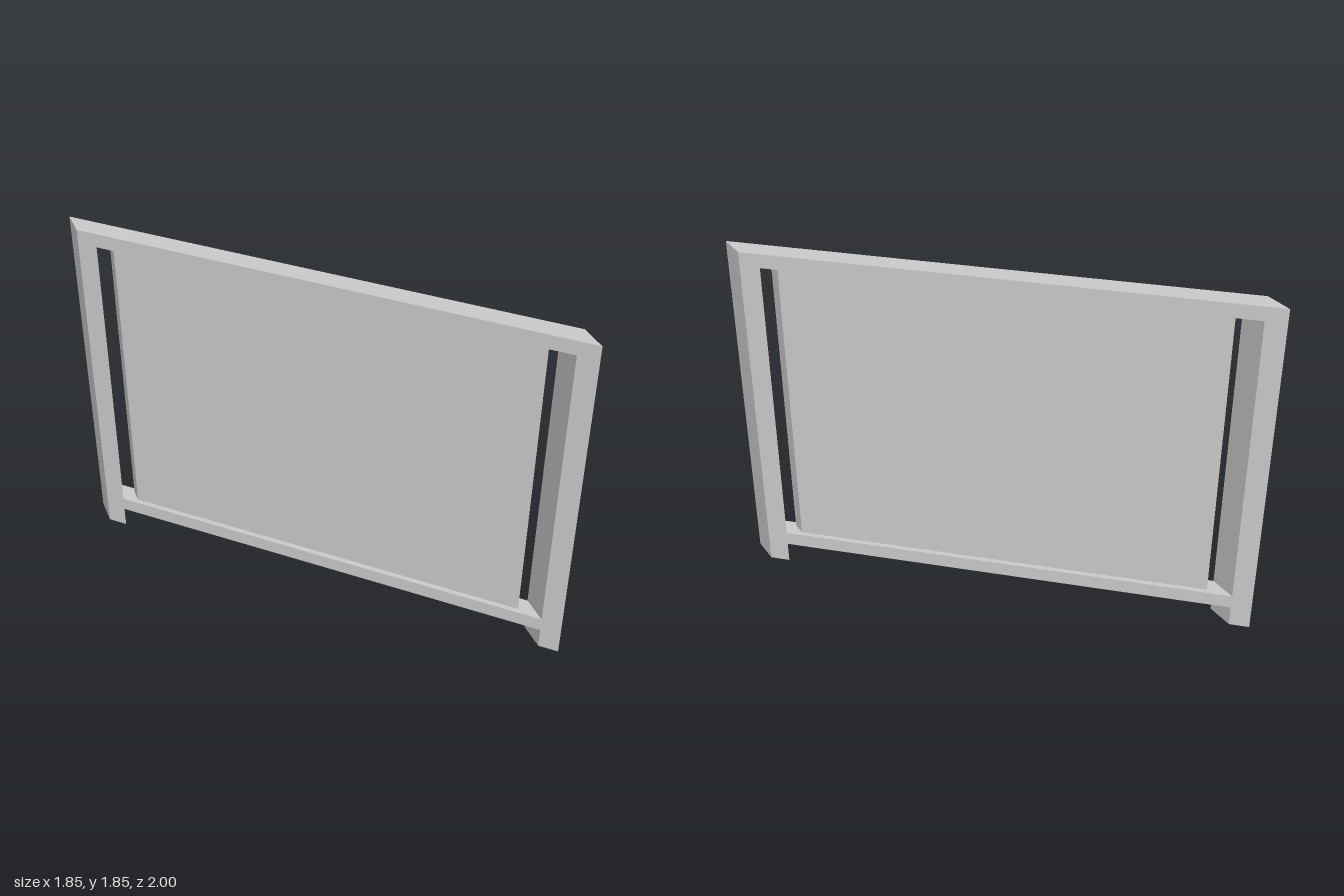
import * as THREE from 'three';

const S = 1.852;          // overall height and width
const T = S * 0.04;       // width of posts and rails
const H = S / 2;

export function createModel() {
  const group = new THREE.Group();
  const material = new THREE.MeshStandardMaterial({ color: 0xcccccc });

  // Everything is set diagonally: z slides along with x, ends stay square to x
  const shear = new THREE.Matrix4().set(1, 0, 0, 0, 0, 1, 0, 0, 1, 0, 1, 0, 0, 0, 0, 1);
  const add = (name, geometry) => {
    geometry.applyMatrix4(shear);
    const mesh = new THREE.Mesh(geometry, material);
    mesh.name = name;
    group.add(mesh);
  };

  // Frame: two posts, a top rail and a raised bottom rail in one outline
  const railBottom = S * 0.06, railTop = S * 0.10, openingTop = S - T, inner = H - T;
  const points = (list) => list.map(([x, y]) => new THREE.Vector2(x, y));
  const outline = new THREE.Shape(points([
    [-H, 0], [-inner, 0], [-inner, railBottom], [inner, railBottom],
    [inner, 0], [H, 0], [H, S], [-H, S],
  ]));
  outline.holes.push(new THREE.Path(points([
    [-inner, railTop], [-inner, openingTop], [inner, openingTop], [inner, railTop],
  ])));
  const frame = new THREE.ExtrudeGeometry(outline, { depth: 2 * T, bevelEnabled: false });
  add('frame', frame.translate(0, 0, -T));

  // Infill panel, half as deep as the frame, with a gap beside each post
  const panel = new THREE.BoxGeometry(S * 0.84, openingTop - railTop, T);
  add('panel', panel.translate(0, (openingTop + railTop) / 2, 0));

  return group;
}
